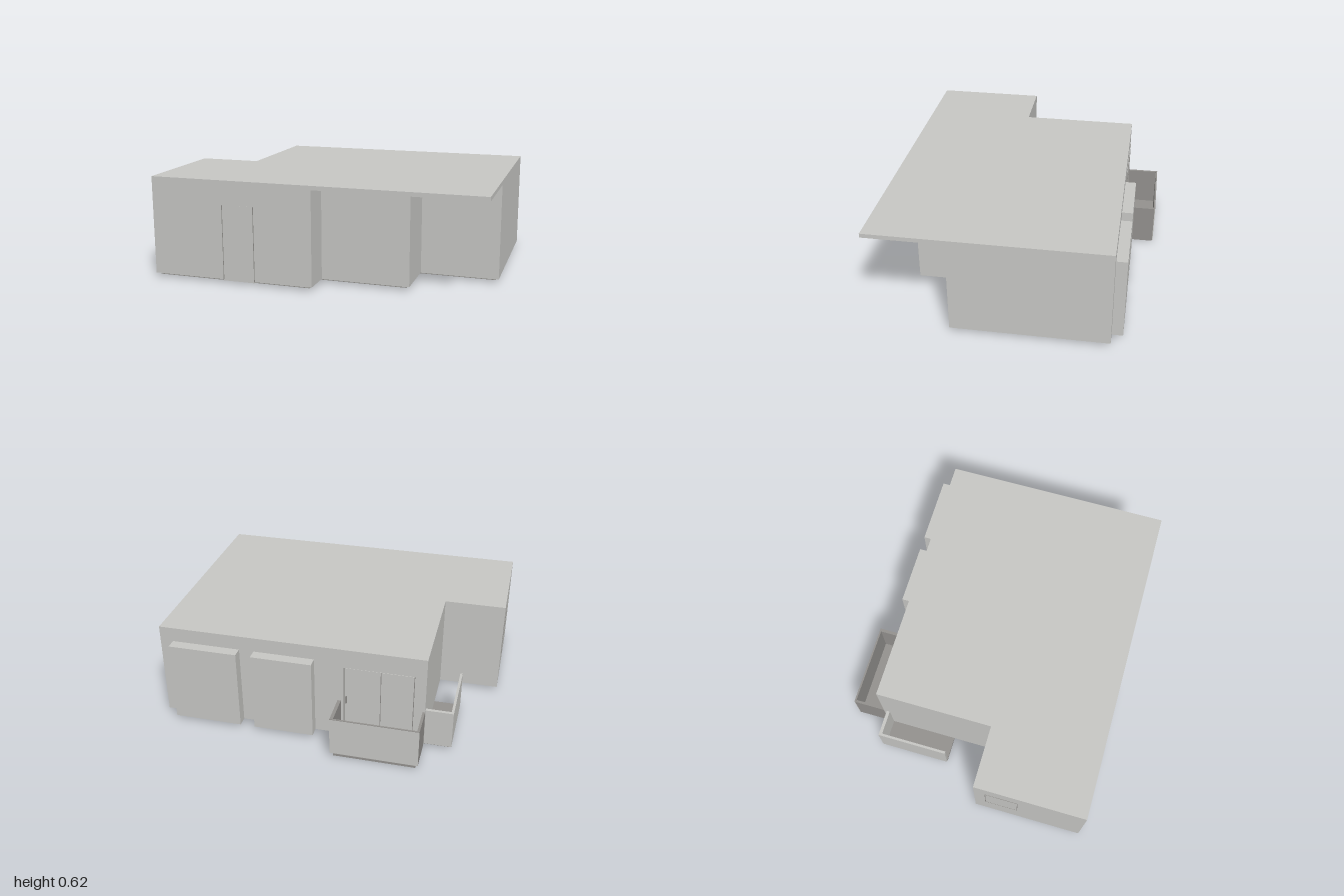
import * as THREE from 'three';

export function createModel() {
  const group = new THREE.Group();
  const light = new THREE.MeshStandardMaterial({ color: 0xc8c8c5 });
  light.name = 'light plaster';
  const dark = new THREE.MeshStandardMaterial({ color: 0x94928f });
  dark.name = 'dark concrete';

  // Box given by its limits on each axis
  function box(name, [x0, x1], [y0, y1], [z0, z1], material, parent = group) {
    const mesh = new THREE.Mesh(new THREE.BoxGeometry(x1 - x0, y1 - y0, z1 - z0), material);
    mesh.position.set((x0 + x1) / 2, (y0 + y1) / 2, (z0 + z1) / 2);
    mesh.name = name;
    parent.add(mesh);
    return mesh;
  }

  // Floor plan of [x, z] corners raised between two heights
  function plan(name, points, y0, y1, material) {
    const shape = new THREE.Shape(points.map(([x, z]) => new THREE.Vector2(x, z)));
    const geo = new THREE.ExtrudeGeometry(shape, { depth: y1 - y0, bevelEnabled: false });
    geo.rotateX(Math.PI / 2).translate(0, y1, 0);
    const mesh = new THREE.Mesh(geo, material);
    mesh.name = name;
    group.add(mesh);
  }

  // Stepped footprint, pulled in by d on every side
  const footprint = (d) => [
    [-1 + d, 0.8 - d], [-d, 0.8 - d], [-d, 0.625 - d], [0.53 - d, 0.625 - d],
    [0.53 - d, 0.325 - d], [1 - d, 0.325 - d], [1 - d, -0.6 + d],
    [-0.625 + d, -0.6 + d], [-0.625 + d, 0.12 + d], [-1 + d, 0.12 + d],
  ];
  plan('walls', footprint(0), 0.022, 0.59, light);
  plan('floorEdge', footprint(0.02), 0.014, 0.022, light);
  plan('floorUnderside', footprint(0.02), 0.01, 0.014, dark);

  // Flat roof overhanging the stepped front
  plan('roof', [[-1, 0.8], [1, 0.8], [1, -0.6], [-0.625, -0.6], [-0.625, 0.12], [-1, 0.12]],
    0.59, 0.615, light);

  // Shallow bays on the back wall
  for (const [x0, x1] of [[0.04, 0.41], [0.5, 0.92]]) {
    box('backBay', [x0, x1], [0.022, 0.525], [-0.665, -0.6], light);
  }

  // Front door with a dark seam on each side
  box('frontDoor', [-0.55, -0.355], [0.014, 0.47], [0.798, 0.8005], light);
  for (const x of [-0.55, -0.355]) {
    box('frontDoorSeam', [x - 0.002, x + 0.002], [0.022, 0.47], [0.798, 0.801], dark);
  }

  // Balcony doors, seams and handle
  box('balconyDoor', [-0.36, -0.14], [0.022, 0.495], [-0.602, -0.598], light);
  box('balconyWindow', [-0.555, -0.36], [0.022, 0.495], [-0.603, -0.598], light);
  for (const x of [-0.555, -0.36, -0.14]) {
    box('balconyDoorSeam', [x - 0.002, x + 0.002], [0.022, 0.495], [-0.604, -0.598], dark);
  }
  box('balconyDoorHandle', [-0.157, -0.149], [0.25, 0.3], [-0.607, -0.6], dark);

  // Side window: pane with a thin frame
  box('sideWindowPane', [-1.001, -0.998], [0.24, 0.48], [0.19, 0.39], light);
  for (const y of [0.24, 0.48]) {
    box('sideWindowRail', [-1.002, -0.998], [y - 0.002, y + 0.002], [0.19, 0.39], dark);
  }
  for (const z of [0.19, 0.39]) {
    box('sideWindowStile', [-1.002, -0.998], [0.24, 0.48], [z - 0.002, z + 0.002], dark);
  }

  // Back balcony: dark sides and floor, light outer panel
  const back = new THREE.Group();
  back.name = 'backBalcony';
  group.add(back);
  box('balconyFloor', [-0.61, -0.12], [0, 0.014], [-0.795, -0.598], dark, back);
  box('balconyFloorTop', [-0.62, -0.105], [0.014, 0.024], [-0.79, -0.598], dark, back);
  box('balconySide', [-0.625, -0.61], [0.02, 0.26], [-0.796, -0.598], dark, back);
  box('balconySide', [-0.12, -0.1], [0.02, 0.26], [-0.796, -0.598], dark, back);
  box('balconyInnerPanel', [-0.61, -0.12], [0.02, 0.26], [-0.796, -0.79], dark, back);
  box('balconyOuterPanel', [-0.625, -0.1], [0.02, 0.26], [-0.8, -0.796], light, back);
  box('balconyCap', [-0.625, -0.1], [0.26, 0.263], [-0.8, -0.79], dark, back);
  box('drain', [-0.26, -0.22], [0.024, 0.026], [-0.7, -0.66], dark, back);

  // Side balcony: light parapet around a dark floor
  const side = new THREE.Group();
  side.name = 'sideBalcony';
  group.add(side);
  box('sideBalconyFloor', [-0.775, -0.623], [0.003, 0.024], [-0.56, -0.14], dark, side);
  box('sideBalconyPanel', [-0.79, -0.775], [0.02, 0.26], [-0.58, -0.14], light, side);
  box('sideBalconyEnd', [-0.775, -0.623], [0.02, 0.26], [-0.58, -0.56], light, side);

  return group;
}
